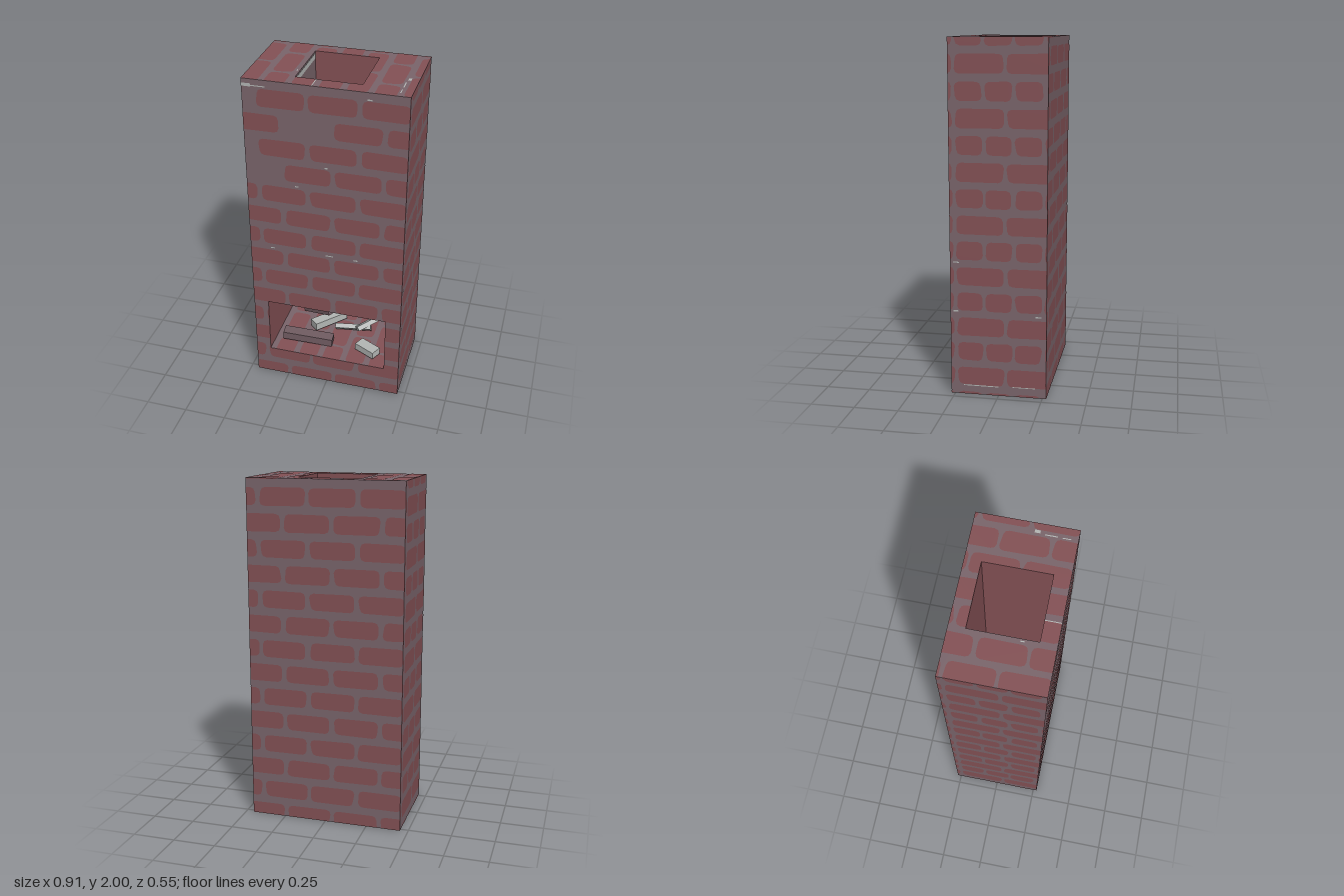
import * as THREE from 'three';

const mat = (name, color) => Object.assign(new THREE.MeshStandardMaterial({ color }), { name });

// Main dimensions: outer block, square flue, firebox opening
const W = 0.453, D = 0.272, H = 2, F = 0.183, B = 0.363, Y0 = 0.185, Y1 = 0.55;

// Brick bonds: course pitch and height, brick pitch and offset for alternate courses
const wide = { v0: 0.021, dv: 0.1445, h: 0.1, du: [0.285, 0.285], u0: [-0.1, -0.24], gap: 0.027 };
const side = { v0: -0.038, dv: 0.146, h: 0.104, du: [0.165, 0.285], u0: [0.005, -0.1], gap: 0.02 };
const flat = { v0: 0.27, dv: 0.148, h: 0.113, du: [0.267, 0.267], u0: [-0.013, 0.113], gap: 0.02 };
const hearth = { v0: 0.385, dv: 0.115, h: 0.08, du: [0.285, 0.285], u0: [0.1, -0.04], gap: 0.035 };

function seeded(seed) {
  let s = seed;
  return () => (s = (s * 16807) % 2147483647) / 2147483647;
}

const rectPoints = ([u0, v0, u1, v1]) => [[u0, v0], [u1, v0], [u1, v1], [u0, v1]].map(p => new THREE.Vector2(...p));

// Rectangular cells that surround a hole inside a rectangle
function cellsAround([a, b, c, d], hole) {
  if (!hole) return [[a, b, c, d]];
  const [e, f, g, h] = hole;
  return [[a, b, c, f], [a, h, c, d], [a, f, e, h], [g, f, c, h]].filter(r => r[2] - r[0] > 0.001 && r[3] - r[1] > 0.001);
}

// Outline of one worn brick, clipped to a cell
function brickShape(u, v, w, h, cell, wobble) {
  const r = 0.026, pts = [];
  for (let q = 0; q < 4; q++) {
    const sx = q === 0 || q === 3 ? 1 : -1, sy = q < 2 ? 1 : -1;
    for (let i = 0; i < 3; i++) {
      const a = (q + i / 2) * Math.PI / 2;
      const x = u + sx * (w / 2 - r) + r * Math.cos(a) + wobble[q];
      const y = v + sy * (h / 2 - r) + r * Math.sin(a) + wobble[q] * 0.4;
      pts.push(new THREE.Vector2(
        THREE.MathUtils.clamp(x, cell[0], cell[2]),
        THREE.MathUtils.clamp(y, cell[1], cell[3])));
    }
  }
  const xs = pts.map(p => p.x), ys = pts.map(p => p.y);
  const tooThin = Math.max(...xs) - Math.min(...xs) < 0.006 || Math.max(...ys) - Math.min(...ys) < 0.006;
  return tooThin ? null : new THREE.Shape(pts.filter((p, i) => p.distanceTo(pts[(i + 1) % pts.length]) > 1e-5));
}

export function createModel() {
  const model = new THREE.Group();
  model.name = 'brickChimney';
  const brick = mat('brickRed', 0x845155);
  const mortar = mat('mortar', 0x7a656b);
  const ash = mat('paleWood', 0xb4b7b5);
  const dark = mat('charredWood', 0x715c62);

  const flatMesh = (name, shapes, material, lift) => {
    const mesh = new THREE.Mesh(new THREE.ShapeGeometry(shapes), material);
    mesh.name = name;
    mesh.position.z = lift;
    return mesh;
  };

  // One flat face; with a bond it carries thin bricks, and optional pale chips
  function wall(name, rect, material, rotation, position, { bond, hole, skip = () => false, chips } = {}) {
    const group = new THREE.Group();
    group.name = name;
    const outline = new THREE.Shape(rectPoints(rect));
    if (hole) outline.holes.push(new THREE.Path(rectPoints(hole).reverse()));
    group.add(flatMesh(name + 'Surface', outline, material, 0));
    if (bond) {
      const rand = seeded(71), shapes = [];
      const first = Math.floor((rect[1] - bond.v0) / bond.dv) - 1;
      const last = Math.ceil((rect[3] - bond.v0) / bond.dv) + 1;
      for (let k = first; k <= last; k++) {
        const odd = Math.abs(k % 2), du = bond.du[odd], v = bond.v0 + k * bond.dv;
        for (let n = -5; n <= 5; n++) {
          const u = bond.u0[odd] + n * du;
          const wobble = [0, 0, 0, 0].map(() => (rand() - 0.5) * 0.01);
          if (skip(u, v)) continue;
          for (const cell of cellsAround(rect, hole)) {
            const s = brickShape(u, v, du - bond.gap, bond.h, cell, wobble);
            if (s) shapes.push(s);
          }
        }
      }
      group.add(flatMesh(name + 'Bricks', shapes, brick, 0.0008));
    }
    if (chips) group.add(flatMesh(name + 'Chips', chips.map(c => new THREE.Shape(rectPoints(c))), ash, 0.0016));
    group.rotation.set(...rotation);
    group.position.set(...position);
    model.add(group);
  }

  const P = Math.PI, Q = P / 2;
  const flue = [-F, -F, F, F];

  // Outer faces; a few front bricks near the top are buried in mortar
  const buried = (u, v) => (v > 1.7 && v < 1.8 && u > -0.25 && u < 0.05) || (v > 1.4 && v < 1.5 && u < -0.25)
    || (v > 1.55 && u < -0.45) || v > 1.99;
  wall('frontFace', [-W, 0, W, H], mortar, [0, 0, 0], [0, 0, D], {
    bond: wide, hole: [-B, Y0, B, Y1], skip: buried,
    chips: [[-W, 1.957, -0.4, 1.975], [-0.4, 1.961, -0.32, 1.967], [0.23, 1.956, 0.255, 1.963], [0, 1.525, 0.015, 1.533],
      [-0.17, 1.385, -0.15, 1.392], [-0.33, 0.952, -0.305, 0.958], [0, 0.954, 0.045, 0.96], [0.165, 0.95, 0.19, 0.958]],
  });
  wall('backFace', [-W, 0, W, H], mortar, [0, P, 0], [0, 0, -D], { bond: wide });
  wall('leftFace', [-D, 0, D, H], mortar, [0, Q, 0], [W, 0, 0], {
    bond: side,
    chips: [[-0.255, 0.768, -0.22, 0.774], [-0.255, 0.485, -0.225, 0.493], [0.21, 0.472, 0.245, 0.479],
      [-0.2, 0.05, 0, 0.055], [0.08, 0.054, 0.21, 0.058]],
  });
  wall('rightFace', [-D, 0, D, H], mortar, [0, -Q, 0], [-W, 0, 0], { bond: side });
  wall('topFace', [-D, -W, D, W], mortar, [-Q, 0, Q], [0, H, 0], {
    bond: flat, hole: flue,
    chips: [[-0.075, -0.412, -0.045, -0.395], [-0.165, -0.395, -0.1, -0.389], [-0.235, -0.393, -0.19, -0.388],
      [-0.27, 0.064, -0.185, 0.069], [-0.11, 0.194, -0.09, 0.2]],
  });
  wall('bottomFace', [-D, -W, D, W], mortar, [Q, 0, Q], [0, 0, 0], { bond: flat });

  // Firebox interior
  wall('fireboxFloor', [-D, -B, F, B], mortar, [-Q, 0, Q], [0, Y0, 0], { bond: flat });
  wall('fireboxCeiling', [-F, -B, D, B], brick, [Q, 0, Q], [0, Y1, 0], { hole: flue });
  wall('fireboxBack', [-B, Y0, B, Y1], mortar, [0, 0, 0], [0, 0, -F], { bond: hearth });
  wall('fireboxRight', [-D, Y0, F, Y1], brick, [0, Q, 0], [-B, 0, 0]);
  wall('fireboxLeft', [-F, Y0, D, Y1], brick, [0, -Q, 0], [B, 0, 0]);

  // Flue interior, four walls facing inwards; one is coated with mortar
  for (let i = 0; i < 4; i++) {
    const a = i * Q;
    wall('flueWall' + (i + 1), [-F, Y1, F, H], i === 1 ? mortar : brick, [0, a, 0], [-F * Math.sin(a), 0, -F * Math.cos(a)]);
  }

  // Pale band just under the flue rim
  const band = new THREE.Mesh(new THREE.BoxGeometry(0.002, 0.03, 2 * F - 0.01), ash);
  band.name = 'flueRimBand';
  band.position.set(-F + 0.001, 1.975, 0);
  model.add(band);

  // Split logs, each laid from one end point to the other and rolled about its length
  function log(name, a, b, width, thick, material, roll = 0) {
    const from = new THREE.Vector3(...a), to = new THREE.Vector3(...b);
    const mesh = new THREE.Mesh(new THREE.BoxGeometry(width, thick, from.distanceTo(to)), material);
    mesh.name = name;
    mesh.position.copy(from).add(to).multiplyScalar(0.5);
    mesh.lookAt(to);
    mesh.rotateZ(roll);
    model.add(mesh);
  }
  log('backLog', [-0.155, 0.225, 0.03], [0, 0.225, -0.14], 0.065, 0.05, ash);
  log('leaningDarkLog', [-0.25, 0.235, -0.145], [-0.052, 0.322, -0.035], 0.068, 0.055, dark);
  log('frontDarkLog', [-0.31, 0.232, 0.155], [0, 0.212, 0.128], 0.07, 0.05, dark);
  log('middleLog', [-0.015, 0.222, 0], [0.21, 0.24, -0.02], 0.05, 0.03, ash, -0.85);
  log('leaningPaleLog', [0.13, 0.25, 0.025], [0.29, 0.295, -0.125], 0.05, 0.03, ash, -0.6);
  log('frontPaleLog', [0.171, 0.228, 0.134], [0.296, 0.228, 0.197], 0.07, 0.045, ash);

  return model;
}
